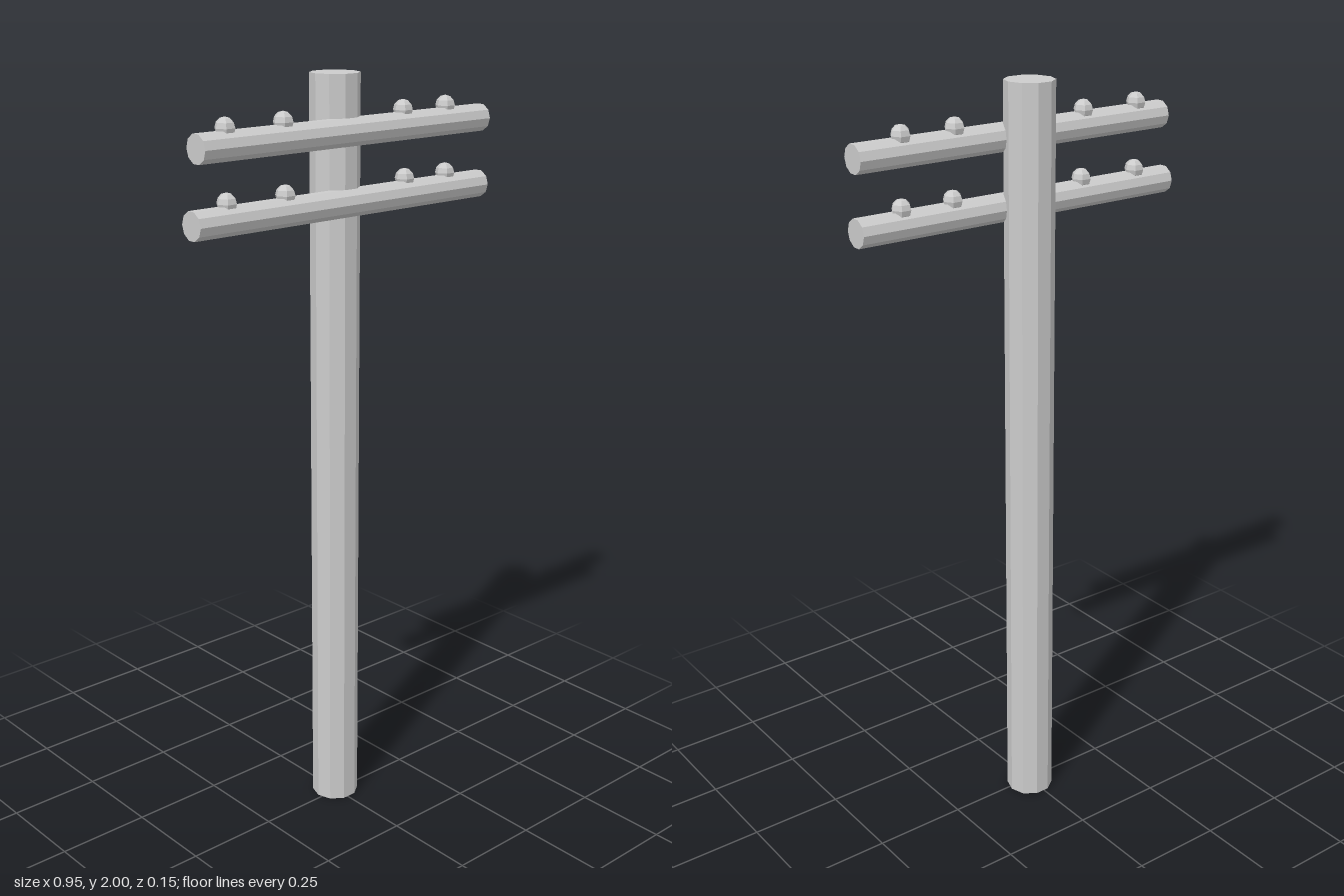
import * as THREE from 'three';

const material = new THREE.MeshStandardMaterial({ color: 0xcccccc, flatShading: true });

function addMesh(parent, name, geometry, x, y, z) {
  const mesh = new THREE.Mesh(geometry, material);
  mesh.name = name;
  mesh.position.set(x, y, z);
  parent.add(mesh);
  return mesh;
}

// Horizontal ten-sided beam with a row of knob insulators along its top
function createCrossarm(name, y, left, right, knobs) {
  const arm = new THREE.Group();
  arm.name = name;
  const beam = new THREE.CylinderGeometry(0.036, 0.036, right - left, 10).rotateZ(Math.PI / 2);
  addMesh(arm, 'beam', beam, (left + right) / 2, y, 0.037);
  const knob = new THREE.SphereGeometry(0.026, 6, 6);
  for (const x of knobs) addMesh(arm, 'insulator', knob, x, y + 0.04, 0.033);
  return arm;
}

export function createModel() {
  const model = new THREE.Group();
  model.name = 'utilityPole';

  // Upright pole, flat faces to front and back
  const pole = new THREE.CylinderGeometry(0.0635, 0.0635, 2, 10).rotateY(Math.PI / 2);
  addMesh(model, 'pole', pole, 0.006, 1, -0.0125);

  // Two crossarms set into the front of the pole
  model.add(createCrossarm('upperCrossarm', 1.86, -0.457, 0.473, [-0.37, -0.197, 0.194, 0.345]));
  model.add(createCrossarm('lowerCrossarm', 1.687, -0.476, 0.473, [-0.37, -0.193, 0.203, 0.349]));
  return model;
}
